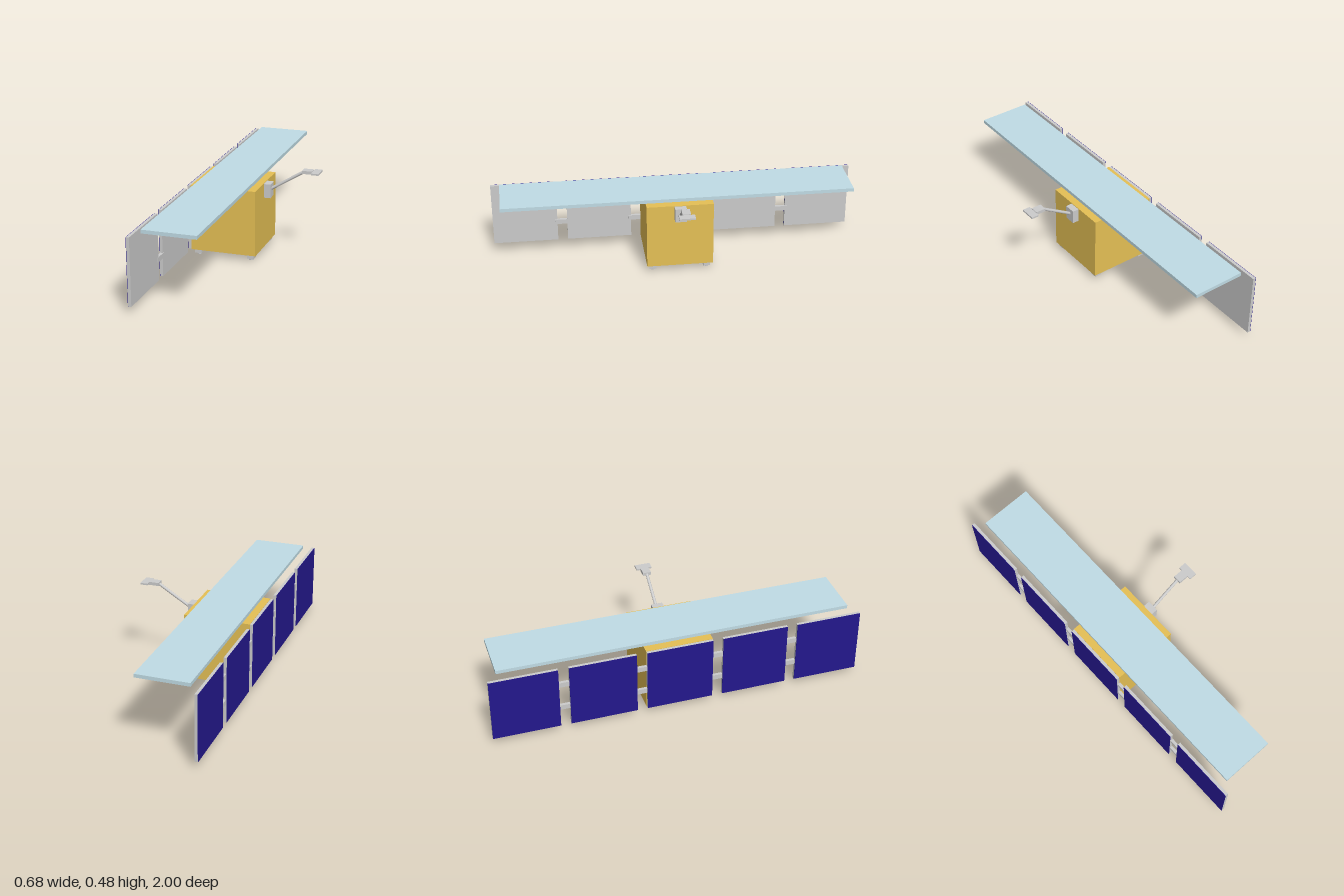
import * as THREE from 'three';

const mat = (color) => new THREE.MeshStandardMaterial({ color });
const grey = mat(0xcccccc);
const gold = mat(0xe5c055);
const paleBlue = mat(0xc0dce5);
const solarBlue = mat(0x24188c);

// Box given by its [min, max] extents on each axis
function box(name, [x0, x1], [y0, y1], [z0, z1], material = grey) {
  const mesh = new THREE.Mesh(new THREE.BoxGeometry(x1 - x0, y1 - y0, z1 - z0), material);
  mesh.position.set((x0 + x1) / 2, (y0 + y1) / 2, (z0 + z1) / 2);
  mesh.name = name;
  return mesh;
}

// Cylinder between two points
function rod(name, a, b, radius, sides = 24) {
  const dir = b.clone().sub(a);
  const mesh = new THREE.Mesh(new THREE.CylinderGeometry(radius, radius, dir.length(), sides), grey);
  mesh.position.copy(a).add(b).multiplyScalar(0.5);
  mesh.quaternion.setFromUnitVectors(new THREE.Vector3(0, 1, 0), dir.normalize());
  mesh.name = name;
  return mesh;
}

// Panel backing with a thin layer of solar cells on its outer side
function solarPanel(z) {
  const panel = new THREE.Group();
  panel.name = 'solarPanel';
  panel.add(
    box('panelBacking', [-0.339, -0.323], [0.035, 0.391], [z - 0.178, z + 0.178]),
    box('solarCells', [-0.341, -0.339], [0.035, 0.391], [z - 0.178, z + 0.178], solarBlue)
  );
  return panel;
}

// Square block with a short round pin below
function foot(x, z) {
  const group = new THREE.Group();
  group.name = 'foot';
  group.add(
    box('footBlock', [x - 0.019, x + 0.019], [0.01, 0.034], [z - 0.019, z + 0.019]),
    rod('footPin', new THREE.Vector3(x, 0, z), new THREE.Vector3(x, 0.012, z), 0.0105)
  );
  return group;
}

export function createModel() {
  const model = new THREE.Group();
  model.name = 'satellite';

  // Body and the long plate above it
  model.add(box('body', [-0.323, 0.037], [0.033, 0.393], [-0.18, 0.18], gold));
  model.add(box('topPlate', [-0.285, 0], [0.398, 0.417], [-0.949, 0.949], paleBlue));

  // Row of five panels
  for (let i = -2; i <= 2; i++) model.add(solarPanel(i * 0.411));

  // Hinge bars bridging the gaps between panels
  for (const z of [-0.6165, -0.2055, 0.2055, 0.6165])
    for (const y of [0.148, 0.291])
      model.add(box('hingeBar', [-0.336, -0.32], [y - 0.0135, y + 0.0135], [z - 0.04, z + 0.04]));

  // Four feet
  for (const x of [-0.289, 0.005])
    for (const z of [-0.147, 0.147]) model.add(foot(x, z));

  // Arm with its mount and two-step head
  const arm = new THREE.Group();
  arm.name = 'arm';
  arm.add(
    box('armMount', [0.037, 0.073], [0.314, 0.39], [-0.031, 0.031]),
    rod('armRod', new THREE.Vector3(0.065, 0.357, 0), new THREE.Vector3(0.252, 0.472, 0), 0.008),
    box('armHead', [0.243, 0.298], [0.464, 0.481], [-0.022, 0.022]),
    box('armTip', [0.298, 0.339], [0.468, 0.477], [-0.042, 0.042])
  );
  model.add(arm);

  return model;
}
